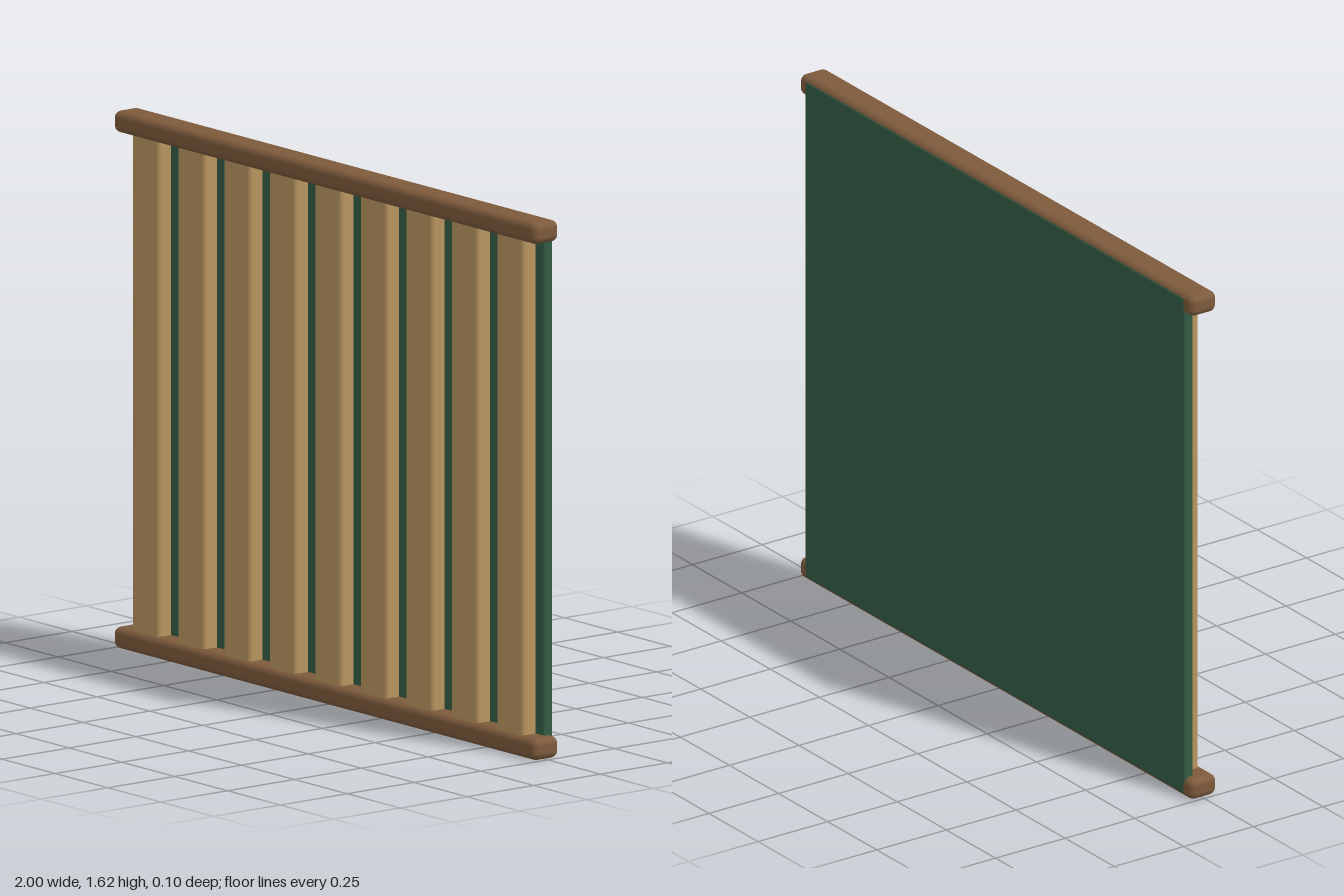
import * as THREE from 'three';
import { RoundedBoxGeometry } from 'three/addons/geometries/RoundedBoxGeometry.js';

const material = (name, color) => {
  const m = new THREE.MeshStandardMaterial({ color });
  m.name = name;
  return m;
};

export function createModel() {
  const group = new THREE.Group();
  group.name = 'slattedPanel';
  const green = material('green backing', 0x335c44);
  const tan = material('tan slat', 0xb8955f);
  const brown = material('brown rail', 0x7d5a3c);

  // Rounded box given by its size and centre
  const add = (name, mat, [w, h, d], radius, [x, y, z]) => {
    const mesh = new THREE.Mesh(new RoundedBoxGeometry(w, h, d, 4, radius), mat);
    mesh.name = name;
    mesh.position.set(x, y, z);
    group.add(mesh);
  };

  const height = 1.615, railHeight = 0.065;

  // Backing sheet, just proud of the rails at the back
  add('backingPanel', green, [1.93, 1.592, 0.034], 0.008, [0, height / 2, -0.031]);

  // Nine upright slats
  const count = 9, pitch = 0.2155;
  for (let i = 0; i < count; i++) {
    const x = (i - (count - 1) / 2) * pitch;
    add('slat' + (i + 1), tan, [0.13, 1.55, 0.056], 0.014, [x, height / 2, 0.006]);
  }

  // Top and bottom rails
  add('bottomRail', brown, [2, railHeight, 0.096], 0.022, [0, railHeight / 2, 0.001]);
  add('topRail', brown, [2, railHeight, 0.096], 0.022, [0, height - railHeight / 2, 0.001]);

  return group;
}
